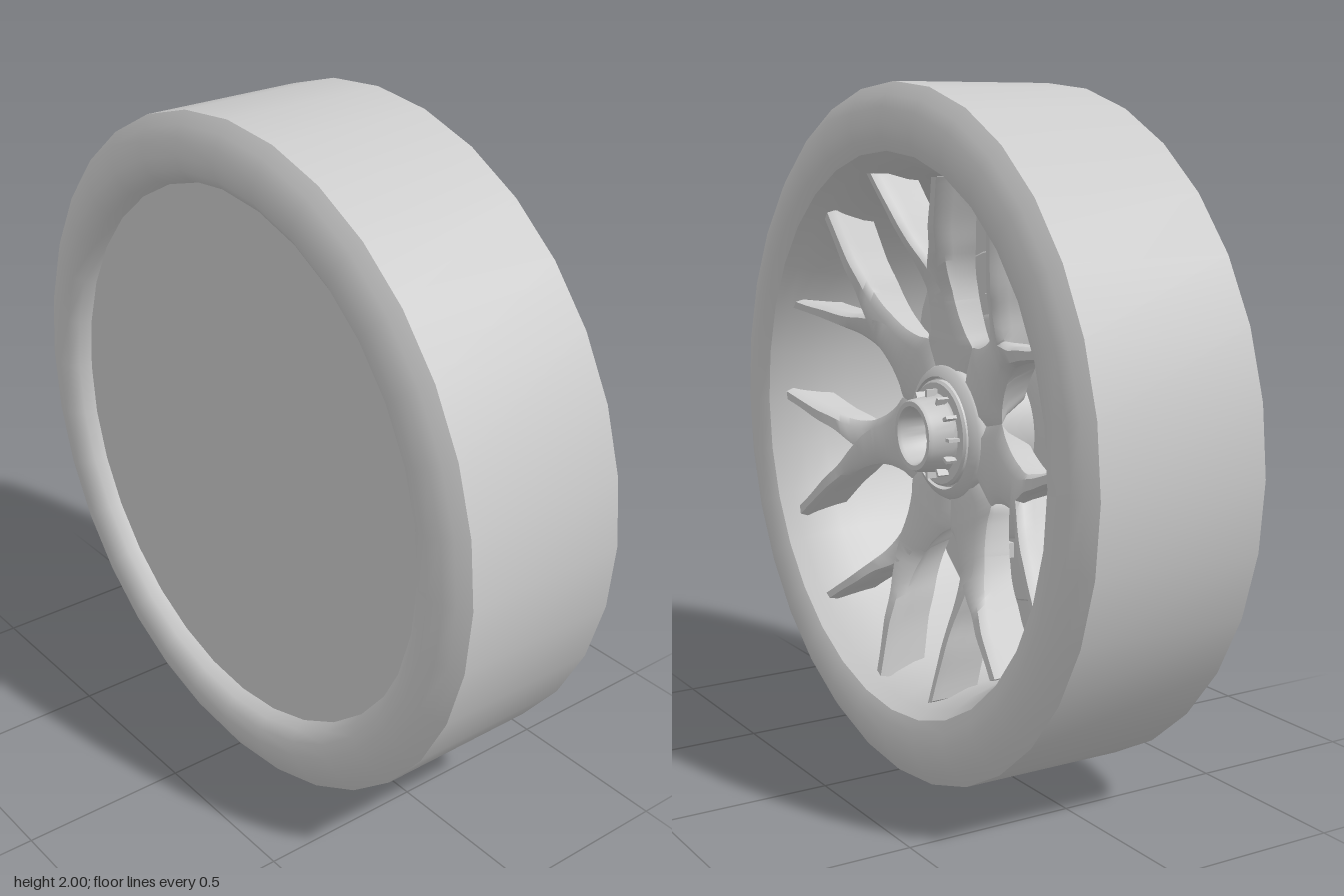
import * as THREE from 'three';
import { toCreasedNormals } from 'three/addons/utils/BufferGeometryUtils.js';

const grey = new THREE.MeshStandardMaterial({ color: 0xcccccc });

function addMesh(parent, name, geometry) {
  const mesh = new THREE.Mesh(geometry, grey);
  mesh.name = name;
  parent.add(mesh);
  return mesh;
}

// Turned part around the x axis; profile points are [radius, x]
function turned(profile, segments = 48, crease = 0.6) {
  const points = profile.map(([r, x]) => new THREE.Vector2(r, x));
  const geometry = new THREE.LatheGeometry(points, segments).rotateZ(-Math.PI / 2);
  return toCreasedNormals(geometry, crease);
}

// Copies of a part set evenly around the axle, the first pointing up
function ring(parent, name, count, build) {
  for (let i = 0; i < count; i++) {
    const item = new THREE.Group();
    item.name = name;
    item.rotation.x = (i / count) * Math.PI * 2;
    build(item);
    parent.add(item);
  }
}

// One arm of a forked spoke: [inner edge, radius, outer edge]
const armEdges = new THREE.CatmullRomCurve3([
  [-0.07, 0.14, 0.07], [-0.1, 0.2, 0.1], [-0.125, 0.255, 0.125], [-0.1, 0.295, 0.1],
  [-0.078, 0.35, 0.078], [-0.062, 0.42, 0.068], [-0.01, 0.49, 0.08], [0.045, 0.55, 0.107],
  [0.088, 0.62, 0.14], [0.135, 0.69, 0.178], [0.165, 0.742, 0.208],
].map((p) => new THREE.Vector3(...p)));

// Front and back faces of the dished spoke: [front x, radius, back x]
const armDepth = [[0.09, 0.14, -0.03], [0.095, 0.25, -0.03], [0.13, 0.42, 0.0], [0.2, 0.6, 0.06], [0.24, 0.75, 0.09]];

// Cross-section: [position across, depth from front]
const armSection = [[-1, 0.16], [-0.6, 0], [0.6, 0], [1, 0.16], [0.75, 0.4], [0.4, 1], [-0.4, 1], [-0.75, 0.4]];

function depthAt(radius, column) {
  let i = 0;
  while (i < armDepth.length - 2 && radius > armDepth[i + 1][1]) i++;
  const a = armDepth[i], b = armDepth[i + 1];
  return THREE.MathUtils.lerp(a[column], b[column], (radius - a[1]) / (b[1] - a[1]));
}

function armGeometry(side) {
  const steps = 32, n = armSection.length;
  const positions = [], index = [];
  for (let i = 0; i <= steps; i++) {
    const p = armEdges.getPoint(i / steps);
    const middle = side * (p.x + p.z) / 2, half = (p.z - p.x) / 2;
    const front = depthAt(p.y, 0), back = depthAt(p.y, 2);
    for (const [across, depth] of armSection) {
      positions.push(THREE.MathUtils.lerp(front, back, depth), p.y, middle + across * half);
    }
  }
  for (let i = 0; i < steps; i++) {
    for (let j = 0; j < n; j++) {
      const a = i * n + j, b = i * n + (j + 1) % n;
      index.push(a, a + n, b, b, a + n, b + n);
    }
  }
  const end = steps * n;
  for (let j = 1; j < n - 1; j++) {
    index.push(0, j, j + 1, end, end + j + 1, end + j);
  }
  const geometry = new THREE.BufferGeometry();
  geometry.setAttribute('position', new THREE.Float32BufferAttribute(positions, 3));
  geometry.setIndex(index);
  return toCreasedNormals(geometry, 0.9);
}

export function createModel() {
  const model = new THREE.Group();
  model.name = 'wheel';
  const wheel = new THREE.Group();
  wheel.name = 'wheelAssembly';
  wheel.position.y = 1;
  model.add(wheel);

  // Tyre with rounded shoulders
  addMesh(wheel, 'tyre', turned([
    [0.8, -0.24], [0.815, -0.275], [0.845, -0.298], [0.885, -0.305], [0.93, -0.294], [0.965, -0.279], [1, -0.255],
    [1, 0.255], [0.965, 0.279], [0.93, 0.294], [0.885, 0.305], [0.845, 0.298], [0.81, 0.28],
  ], 32));

  // Rim barrel, closed at the inner side
  addMesh(wheel, 'rimBarrel', turned([
    [0.81, 0.28], [0.788, 0.24], [0.765, 0.19], [0.745, 0.12], [0.737, 0.04], [0.735, -0.22], [0, -0.22],
  ], 32));
  addMesh(wheel, 'backPlate', turned([[0, -0.24], [0.805, -0.24]], 32));

  // Brake disc and its carrier
  addMesh(wheel, 'brakeDisc', turned([
    [0.525, -0.22], [0.525, -0.12], [0.52, -0.115], [0.33, -0.115],
  ]));
  addMesh(wheel, 'brakeCarrier', turned([
    [0.335, -0.2], [0.335, -0.095], [0.32, -0.085], [0.2, -0.085],
  ]));
  const lugBox = new THREE.BoxGeometry(0.05, 0.045, 0.095);
  const lugBolt = new THREE.CylinderGeometry(0.014, 0.014, 0.02, 12).rotateZ(-Math.PI / 2);
  ring(wheel, 'discLug', 12, (lug) => {
    addMesh(lug, 'lugBlock', lugBox).position.set(-0.095, 0.37, 0);
    addMesh(lug, 'lugBolt', lugBolt).position.set(-0.062, 0.37, 0);
  });

  // Forked spokes
  const arms = [armGeometry(1), armGeometry(-1)];
  ring(wheel, 'spoke', 7, (spoke) => {
    arms.forEach((arm) => addMesh(spoke, 'spokeArm', arm));
  });

  // Hub with raised collar
  addMesh(wheel, 'hub', turned([
    [0.2, -0.2], [0.2, 0.085], [0.192, 0.1], [0.165, 0.115], [0.16, 0.1], [0.1, 0.1],
  ]));

  // Hollow centre nut
  addMesh(wheel, 'centreNut', turned([
    [0.155, 0.09], [0.155, 0.115], [0.148, 0.122], [0.118, 0.122], [0.112, 0.13], [0.105, 0.195], [0.1, 0.205],
    [0.086, 0.205], [0.08, 0.195], [0.07, 0.12], [0.045, 0.1], [0, 0.09],
  ]));
  const peg = new THREE.BoxGeometry(0.035, 0.025, 0.01);
  ring(wheel, 'nutPeg', 12, (item) => {
    addMesh(item, 'peg', peg).position.set(0.14, 0.118, 0);
  });

  return model;
}
